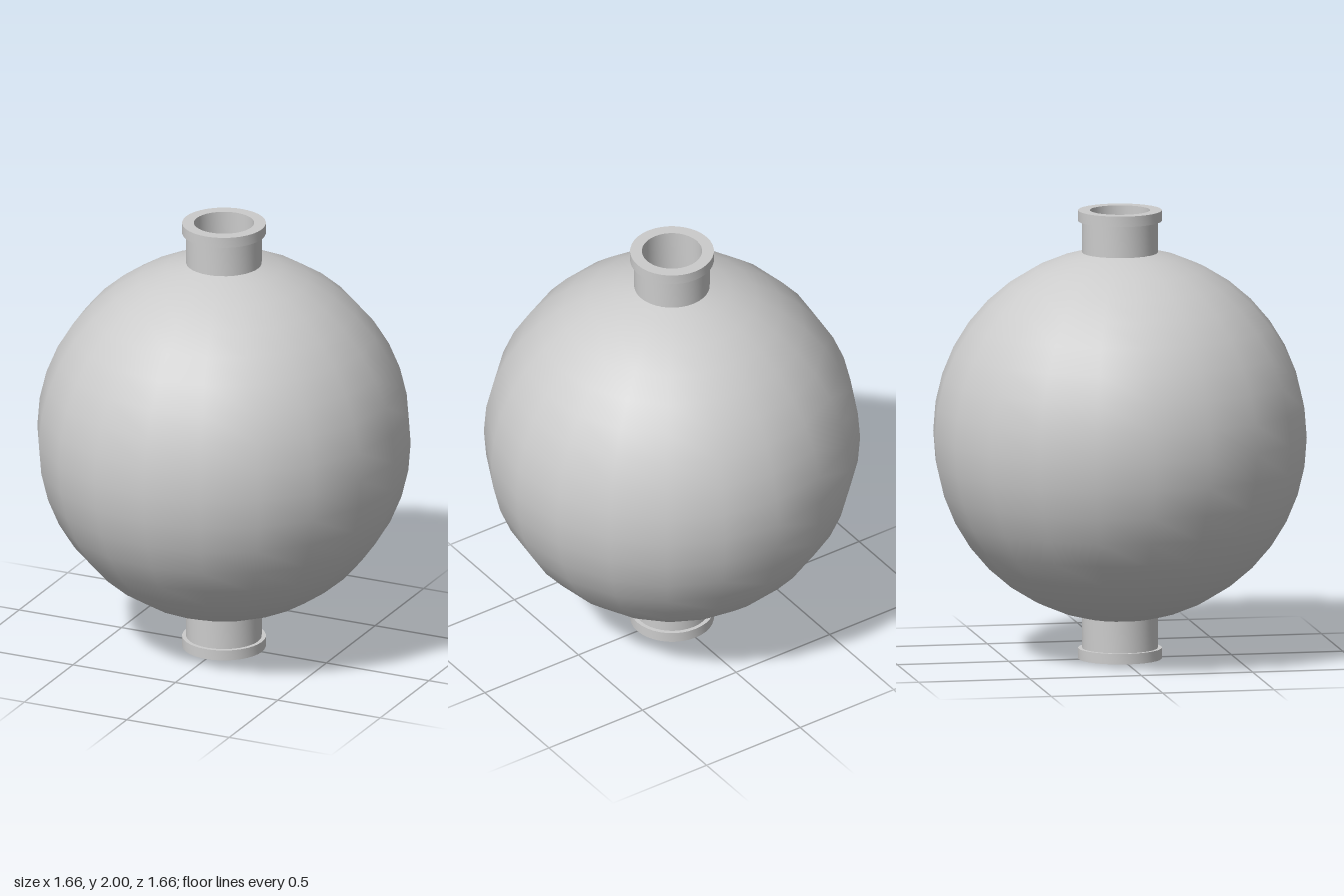
import * as THREE from 'three';
import { toCreasedNormals } from 'three/addons/utils/BufferGeometryUtils.js';

const BORE = 0.133;

// Arc from the lower opening to the upper one, in 9 degree steps.
function arcProfile(radius, opening) {
  const points = [];
  const end = Math.acos(opening / radius);
  points.push(new THREE.Vector2(opening, -radius * Math.sin(end)));
  for (let i = -8; i <= 8; i++) {
    const a = (i * Math.PI) / 20;
    points.push(new THREE.Vector2(radius * Math.cos(a), radius * Math.sin(a)));
  }
  points.push(new THREE.Vector2(opening, radius * Math.sin(end)));
  return points;
}

export function createModel() {
  const model = new THREE.Group();
  model.name = 'sphericalVessel';
  const material = new THREE.MeshStandardMaterial({ color: 0xcccccc });

  function add(name, geometry) {
    const mesh = new THREE.Mesh(geometry, material);
    mesh.name = name;
    mesh.position.y = 1;
    model.add(mesh);
    return mesh;
  }

  // Hollow ball: outer skin and inward-facing inner wall
  add('outerShell', new THREE.LatheGeometry(arcProfile(0.83, 0.15), 20));
  add('innerWall', new THREE.LatheGeometry(arcProfile(0.8, BORE).reverse(), 20));

  // Open neck with a flanged rim, repeated at the bottom
  const neckProfile = [
    [BORE, 0.78], [0.167, 0.8], [0.167, 0.953], [0.185, 0.953],
    [0.185, 1], [BORE, 1], [BORE, 0.78],
  ].map(([r, y]) => new THREE.Vector2(r, y));
  const neck = toCreasedNormals(new THREE.LatheGeometry(neckProfile, 36), 0.6);
  add('topNeck', neck);
  add('bottomNeck', neck).rotation.x = Math.PI;

  return model;
}
